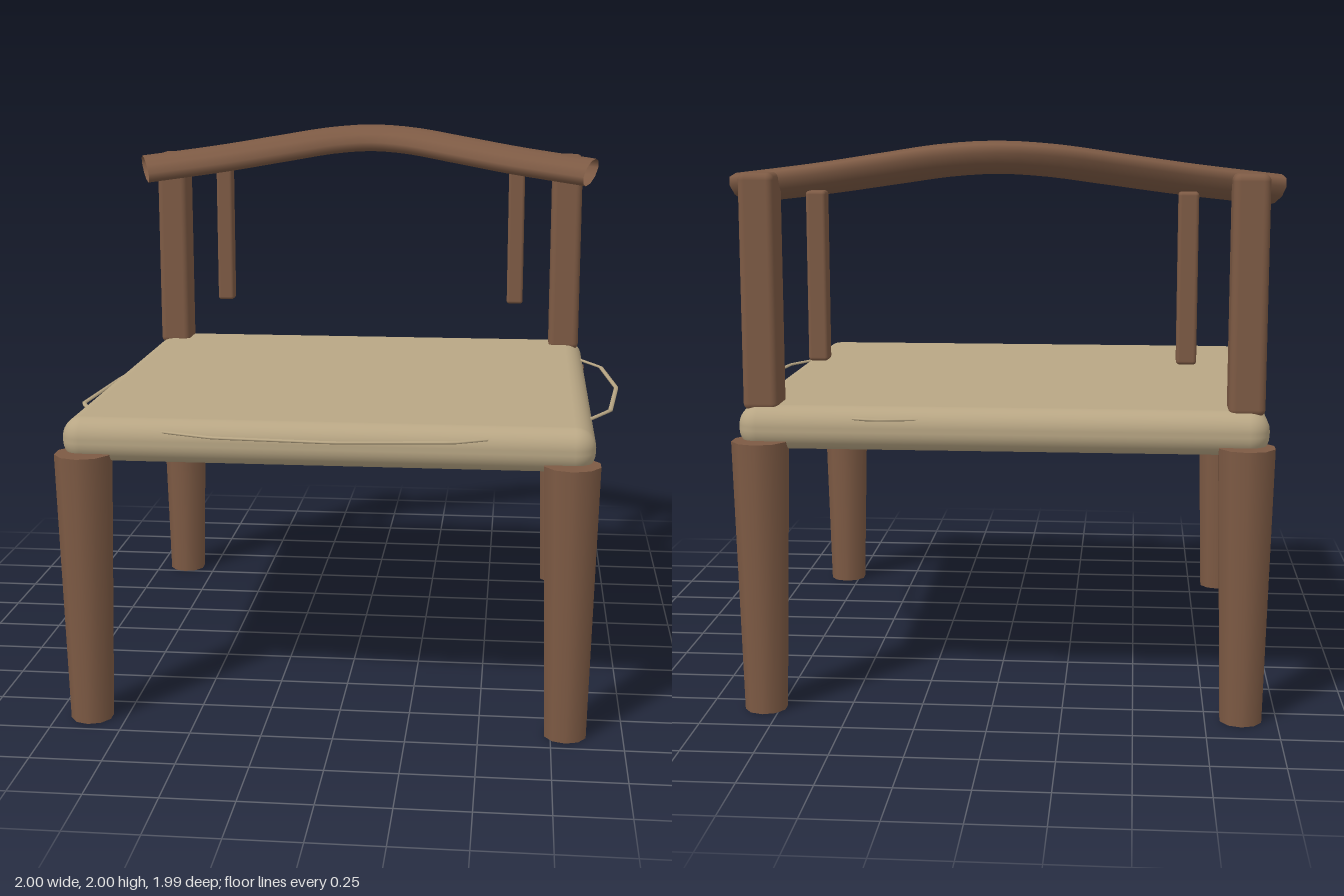
import * as THREE from 'three';
import { RoundedBoxGeometry } from 'three/addons/geometries/RoundedBoxGeometry.js';

const wood = new THREE.MeshStandardMaterial({ color: 0x7d5a44 });
const woodOpen = new THREE.MeshStandardMaterial({ color: 0x7d5a44, side: THREE.DoubleSide });
const fabric = new THREE.MeshStandardMaterial({ color: 0xb8a684 });

const MID = -0.037; // the frame sits slightly off centre

export function createModel() {
  const chair = new THREE.Group();
  chair.name = 'chair';

  const add = (name, geometry, material, x, y, z) => {
    const mesh = new THREE.Mesh(geometry, material);
    mesh.name = name;
    mesh.position.set(x, y, z);
    chair.add(mesh);
    return mesh;
  };
  // Rounded block given by its centre, size and edge radius
  const block = (name, material, [x, y, z], [w, h, d], r) =>
    add(name, new RoundedBoxGeometry(w, h, d, 4, r), material, x, y, z);

  // Cushion
  block('seat', fabric, [MID, 1.013, 0.03], [1.835, 0.155, 1.76], 0.07);

  for (const [label, s] of [['left', 1], ['right', -1]]) {
    // Tapered legs
    for (const [end, z] of [['Front', 0.885], ['Back', -0.82]]) {
      add(label + end + 'Leg', new THREE.CylinderGeometry(0.1, 0.075, 0.97, 10),
        wood, MID + s * 0.838, 0.485, z);
    }
    // Uprights, thin spindles and the small pads under the seat
    block(label + 'Post', wood, [MID + s * 0.838, 1.48, -0.735], [0.125, 0.82, 0.15], 0.025);
    block(label + 'Spindle', wood, [MID + s * 0.628, 1.54, -0.785], [0.068, 0.58, 0.07], 0.012);
    block(label + 'Pad', wood, [MID + s * 0.838, 0.94, -0.7], [0.12, 0.04, 0.08], 0.015);
  }

  // Bowed top rail: a flattened open tube, tilted up towards the back
  const tilt = 0.33;
  const half = [[0.93, 0.338], [0.62, 0.225], [0.37, 0.115], [0.17, 0.03]];
  const bow = [
    ...half.map(([x, z]) => [-x, z]), [0, 0],
    ...half.slice().reverse(),
  ].map(([x, z]) => new THREE.Vector3(x, 0, z / Math.cos(tilt)));
  const railGeometry = new THREE.TubeGeometry(new THREE.CatmullRomCurve3(bow), 32, 0.096, 10);
  railGeometry.scale(1, 0.5, 1);
  railGeometry.rotateX(tilt);
  add('topRail', railGeometry, woodOpen, MID, 1.945, -0.908);

  // Loose cord running round the seat, partly sunk into the cushion
  const cordPoints = [
    [0.99, 0.01], [0.948, 0.41], [0.75, 0.78], [0.41, 0.947], [0, 0.988], [-0.41, 0.96],
    [-0.8, 0.82], [-0.98, 0.48], [-0.95, 0], [-0.88, -0.4], [-0.75, -0.7],
    [-0.4, -0.78], [0, -0.8], [0.4, -0.855], [0.75, -0.76], [0.948, -0.39],
  ].map(([x, z]) => new THREE.Vector3(x, 0, z));
  const cord = new THREE.CurvePath();
  cordPoints.forEach((p, i) =>
    cord.add(new THREE.LineCurve3(p, cordPoints[(i + 1) % cordPoints.length])));
  const cordGeometry = new THREE.TubeGeometry(cord, 160, 0.009, 6, true);
  cordGeometry.scale(1, 0.6, 1);
  add('seatCord', cordGeometry, fabric, 0, 1.052, 0);

  return chair;
}
